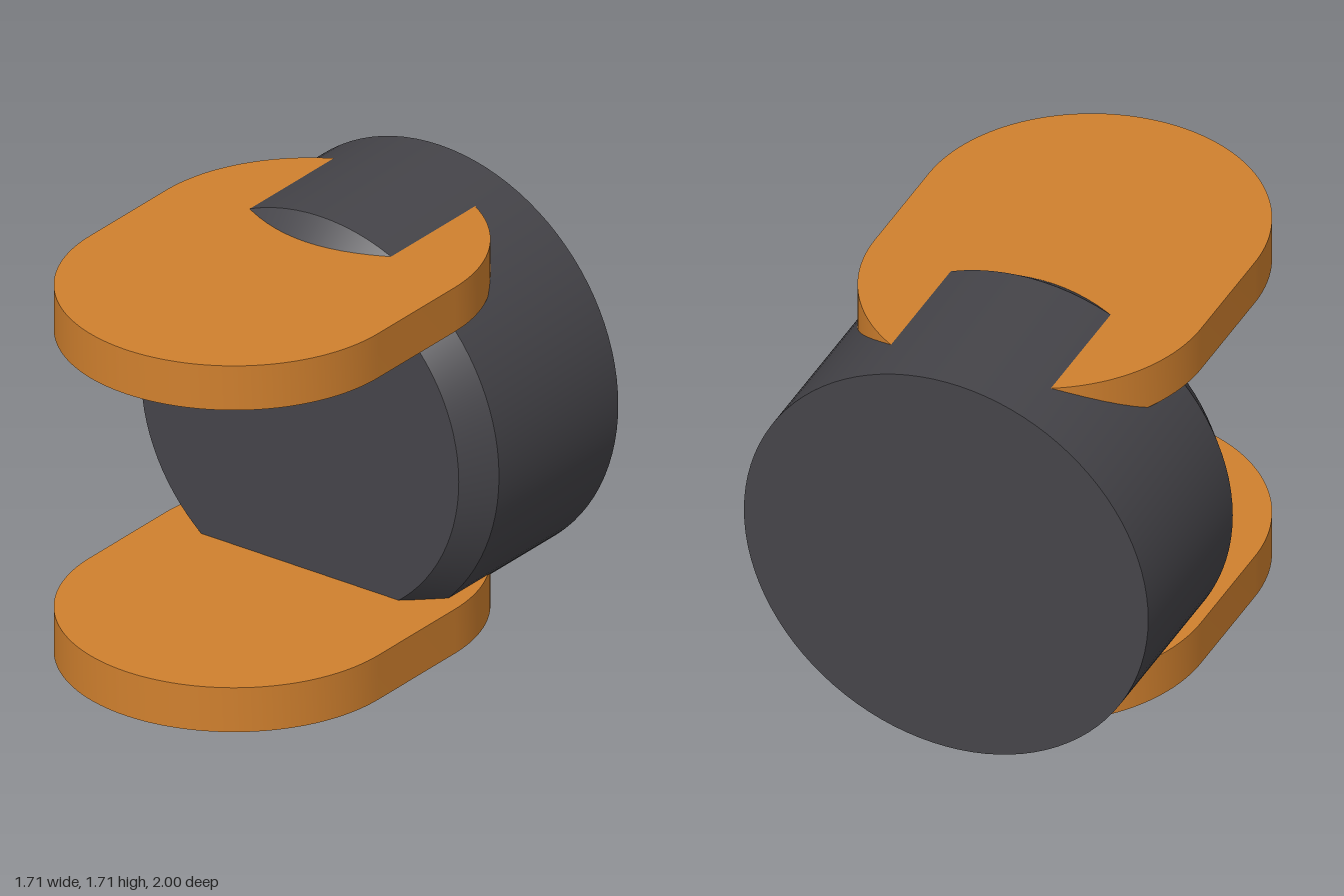
import * as THREE from 'three';
import { toCreasedNormals } from 'three/addons/utils/BufferGeometryUtils.js';

export function createModel() {
  const model = new THREE.Group();
  model.name = 'forkedBarrel';

  const darkGrey = new THREE.MeshStandardMaterial({ name: 'dark grey', color: 0x454449 });
  const orange = new THREE.MeshStandardMaterial({ name: 'orange', color: 0xd0802e });

  // Barrel: closed cylinder along z with a chamfered front rim
  const radius = 0.855;
  const profile = [[0, -1], [radius, -1], [radius, -0.24], [0.76, -0.11], [0, -0.11]]
    .map(([r, z]) => new THREE.Vector2(r, z));
  const barrelGeometry = toCreasedNormals(new THREE.LatheGeometry(profile, 96), 0.5);
  barrelGeometry.rotateX(Math.PI / 2);
  const barrel = new THREE.Mesh(barrelGeometry, darkGrey);
  barrel.name = 'barrel';
  barrel.position.y = radius;
  model.add(barrel);

  // Fork plates: round-ended slabs that run back into the barrel
  const halfWidth = 0.69;
  const thickness = 0.19;
  const outline = new THREE.Shape();
  outline.absarc(0, 0.31, halfWidth, 0, Math.PI, false);
  outline.absarc(0, -0.175, halfWidth, Math.PI, Math.PI * 2, false);
  outline.closePath();
  const slab = new THREE.ExtrudeGeometry(outline, {
    depth: thickness, bevelEnabled: false, curveSegments: 48,
  });
  const plateGeometry = toCreasedNormals(slab, 0.5);
  plateGeometry.rotateX(Math.PI / 2);
  plateGeometry.translate(0, thickness / 2, 0);

  for (const [name, side] of [['upperPlate', 1], ['lowerPlate', -1]]) {
    const plate = new THREE.Mesh(plateGeometry, orange);
    plate.name = name;
    plate.position.y = radius + side * 0.69;
    model.add(plate);
  }

  return model;
}
